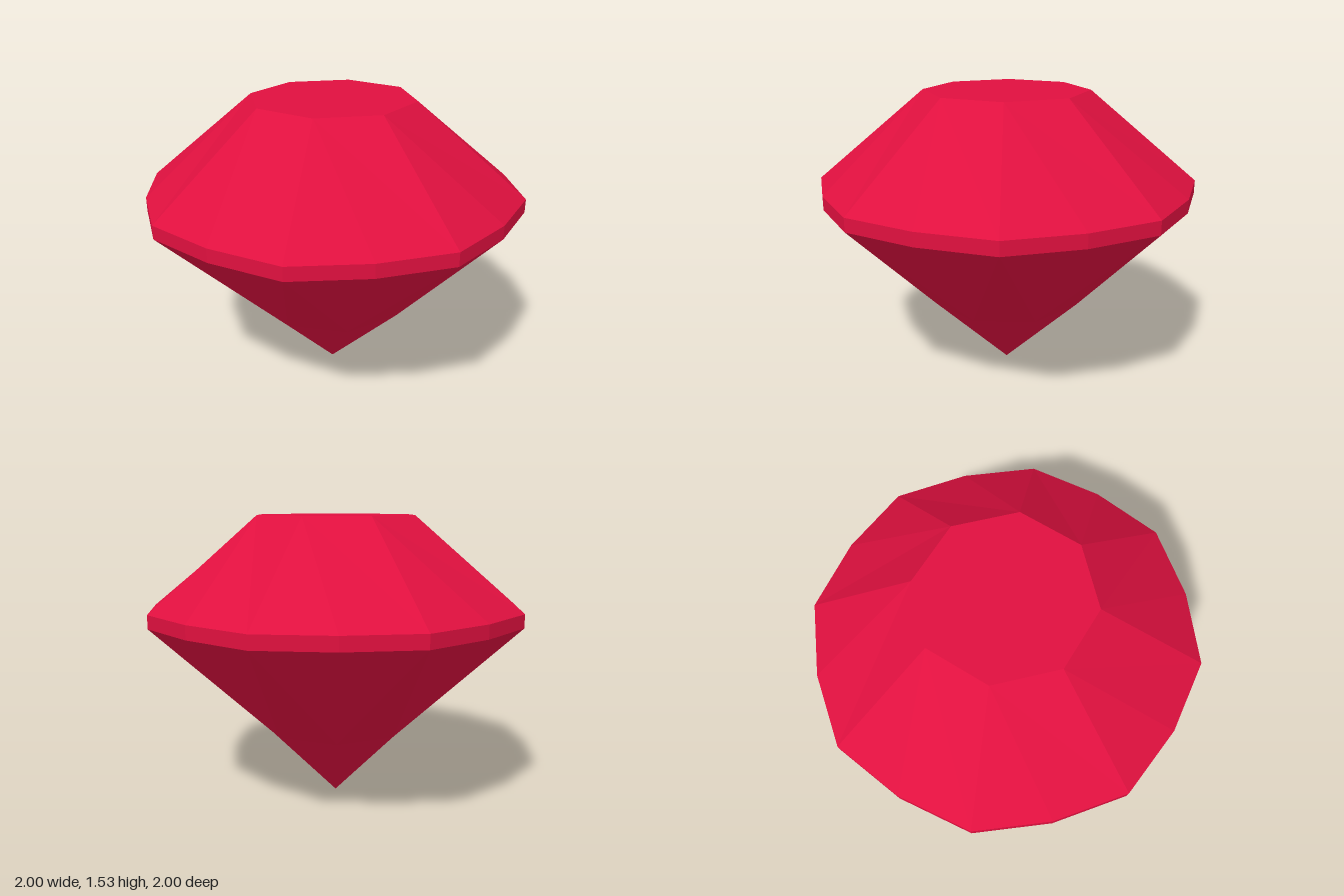
import * as THREE from 'three';

const ruby = new THREE.MeshStandardMaterial({ color: 0xe0103f, flatShading: true });
ruby.name = 'ruby red';

// Ring of points; the radius may depend on the index
function ring(count, y, radius, offset = 0) {
  return Array.from({ length: count }, (_, i) => {
    const a = ((i + offset) / count) * Math.PI * 2;
    const r = radius(i);
    return new THREE.Vector3(Math.cos(a) * r, y, Math.sin(a) * r);
  });
}

// Flat-faced mesh from a list of corner points, three per facet
function facets(name, points) {
  const geometry = new THREE.BufferGeometry().setFromPoints(points);
  geometry.computeVertexNormals();
  const mesh = new THREE.Mesh(geometry, ruby);
  mesh.name = name;
  return mesh;
}

export function createModel() {
  const gem = new THREE.Group();
  gem.name = 'gemstone';

  const girdleRadius = (i) => (i % 2 ? 0.967 : 1);
  const top = ring(8, 1.53, () => 0.433);
  const upper = ring(16, 1.055, girdleRadius);
  const lower = ring(16, 0.985, girdleRadius);
  const pavilionRing = ring(8, 0.4, () => 0.415, 0.5);
  const centre = new THREE.Vector3(0, 1.53, 0);
  const tip = new THREE.Vector3(0, 0, 0);

  const table = [], crown = [], girdle = [], pavilion = [], culet = [];
  for (let k = 0; k < 8; k++) {
    const n = (k + 1) % 8;
    const j = 2 * k, m = j + 1, e = (j + 2) % 16;

    // Flat table
    table.push(centre, top[n], top[k]);

    // Crown: one facet below the table edge and a fan of two to the girdle
    crown.push(top[k], top[n], upper[j]);
    crown.push(top[n], upper[m], upper[j]);
    crown.push(top[n], upper[e], upper[m]);

    // Girdle band
    for (const [a, b] of [[j, m], [m, e]]) {
      girdle.push(upper[a], upper[b], lower[a], upper[b], lower[b], lower[a]);
    }

    // Pavilion: a fan of two facets and one between neighbouring fans
    pavilion.push(lower[j], lower[m], pavilionRing[k]);
    pavilion.push(lower[m], lower[e], pavilionRing[k]);
    pavilion.push(lower[e], pavilionRing[n], pavilionRing[k]);

    // Lower point
    culet.push(pavilionRing[k], pavilionRing[n], tip);
  }

  gem.add(
    facets('table', table),
    facets('crown', crown),
    facets('girdle', girdle),
    facets('pavilion', pavilion),
    facets('culet', culet)
  );
  return gem;
}
